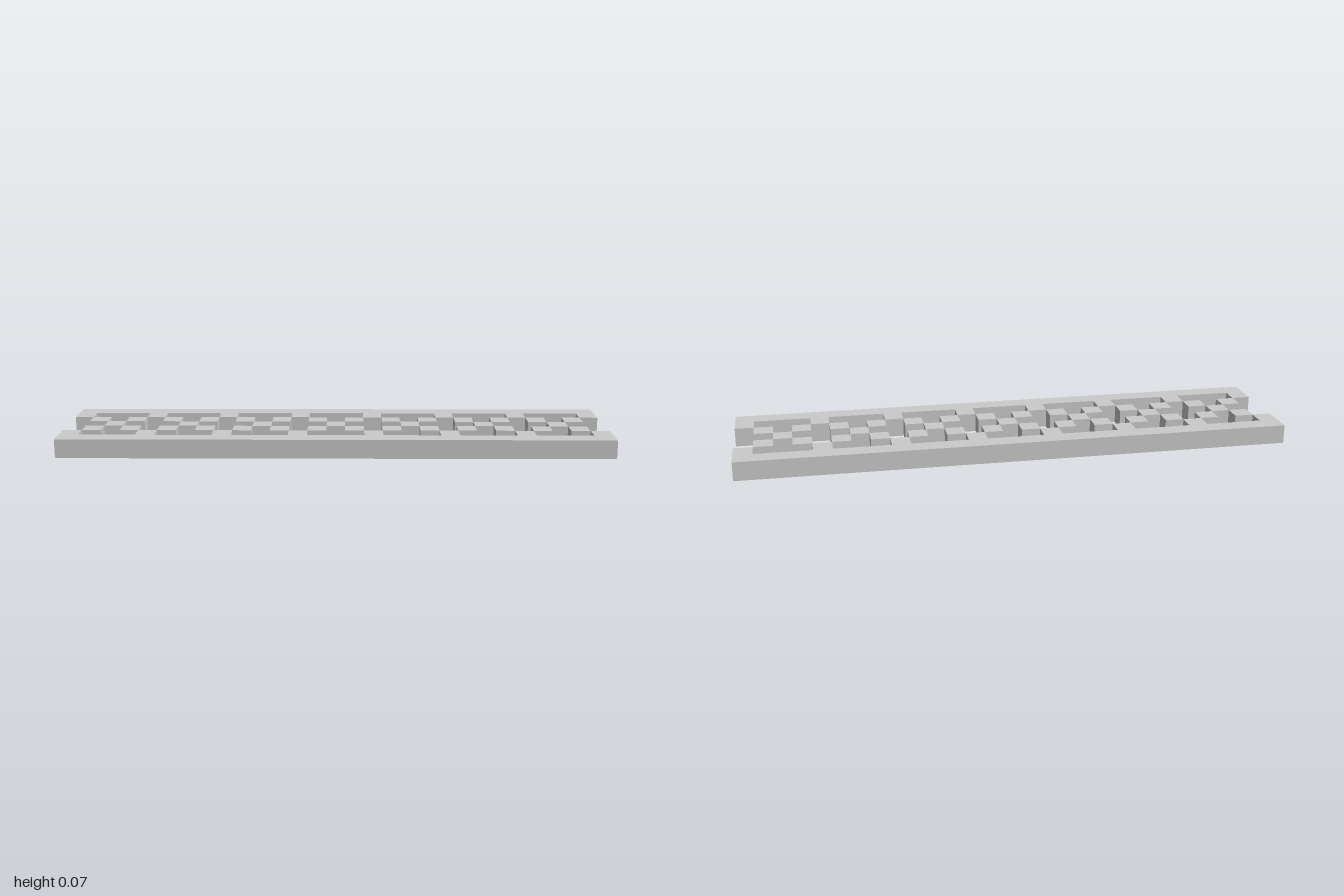
import * as THREE from 'three';

const U = 2 / 29; // one square cell; the fretwork is 29 x 7 cells, one cell thick
const BAYS = 7;
const material = new THREE.MeshStandardMaterial({ color: 0xcccccc, flatShading: true });

// Comb-shaped rail: a straight bar with a tooth between every bay
function railGeometry() {
  const shape = new THREE.Shape();
  shape.moveTo(-1, 3.5 * U);
  for (let i = 0; i <= BAYS; i++) {
    const x0 = -1 + i * 4 * U, x1 = x0 + U;
    if (i > 0) shape.lineTo(x0, 2.5 * U);
    shape.lineTo(x0, 1.5 * U);
    shape.lineTo(x1, 1.5 * U);
    if (i < BAYS) shape.lineTo(x1, 2.5 * U);
  }
  shape.lineTo(1, 3.5 * U);
  shape.closePath();
  const geometry = new THREE.ExtrudeGeometry(shape, { depth: U, bevelEnabled: false });
  return geometry.rotateX(Math.PI / 2).translate(0, U, 0);
}

export function createModel() {
  const model = new THREE.Group();
  model.name = 'fretworkPanel';

  const add = (name, geometry, parent) => {
    const mesh = new THREE.Mesh(geometry, material);
    mesh.name = name;
    parent.add(mesh);
    return mesh;
  };

  // Two mirrored rails
  const rail = railGeometry();
  add('frontRail', rail, model);
  add('backRail', rail, model).rotation.y = Math.PI;

  // Each bay holds an X of five cubes touching at their edges
  const cube = new THREE.BoxGeometry(U, U, U);
  for (let i = 0; i < BAYS; i++) {
    const bay = new THREE.Group();
    bay.name = `crossBay${i + 1}`;
    bay.position.set((i - (BAYS - 1) / 2) * 4 * U, U / 2, 0);
    add('centreBlock', cube, bay);
    for (const sx of [-1, 1]) {
      for (const sz of [-1, 1]) {
        const name = (sz > 0 ? 'front' : 'back') + (sx > 0 ? 'Left' : 'Right') + 'Block';
        add(name, cube, bay).position.set(sx * U, 0, sz * U);
      }
    }
    model.add(bay);
  }
  return model;
}
